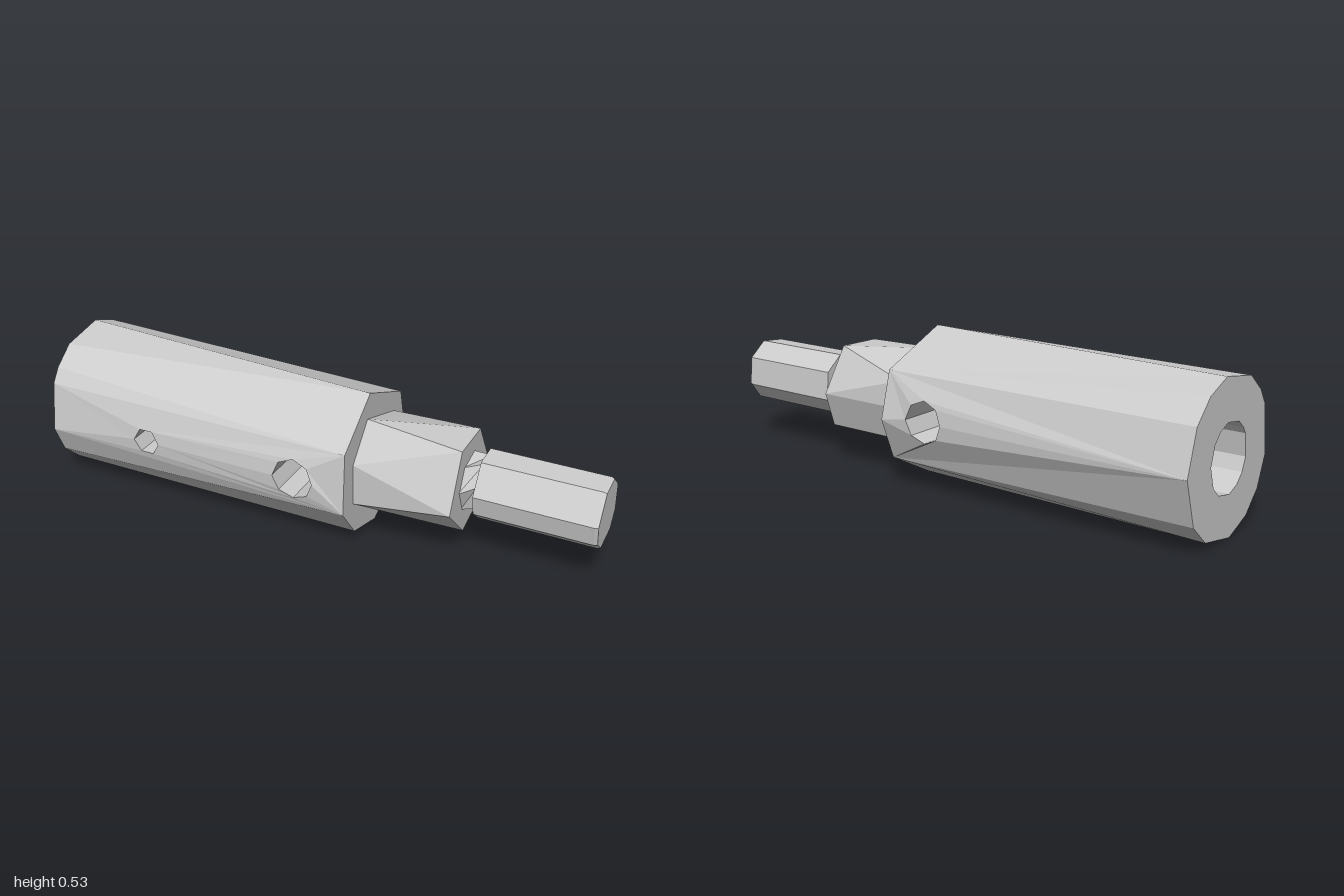
import * as THREE from 'three';
import { mergeGeometries } from 'three/addons/utils/BufferGeometryUtils.js';

const CY = 0.271, R = 0.269, BORE = 0.12, BORE_END = -0.2, X0 = -1, X1 = 0.175;
const rad = THREE.MathUtils.degToRad;

// Point on a circle about the long axis; 0 degrees is +z, 90 is up
const polar = (x, deg, r = R) =>
  new THREE.Vector3(x, CY + r * Math.sin(rad(deg)), r * Math.cos(rad(deg)));
const ring = (x, degs, r) => degs.map(d => polar(x, d, r));
const section = (x, zy) => zy.map(([z, y]) => new THREE.Vector3(x, y, z));

function fromTriangles(points) {
  const geo = new THREE.BufferGeometry().setFromPoints(points);
  geo.computeVertexNormals();
  return geo;
}

// Skin between two rings with equal point counts
function loft(a, b, closed = true) {
  const tri = [], n = a.length;
  for (let i = 0; i < (closed ? n : n - 1); i++) {
    const j = (i + 1) % n;
    if (!a[i].equals(b[i]) && !b[i].equals(b[j])) tri.push(a[i], b[i], b[j]);
    if (!a[i].equals(a[j])) tri.push(a[i], b[j], a[j]);
  }
  return fromTriangles(tri);
}

// Flat end; dir is +1 to face +x and -1 to face -x
function cap(pts, dir) {
  const c = new THREE.Vector3();
  pts.forEach(p => c.addScaledVector(p, 1 / pts.length));
  const tri = [];
  pts.forEach((p, i) => {
    const q = pts[(i + 1) % pts.length];
    if (!p.equals(q)) tri.push(c, ...(dir > 0 ? [q, p] : [p, q]));
  });
  return fromTriangles(tri);
}

const onWall = (y, side) => side * Math.sqrt(R * R - (y - CY) ** 2);

// Side panel drawn in x and y, then pushed out onto the round wall
function panel(pts, holes, side) {
  const flat = list => list.map(p => new THREE.Vector2(p.x * side, p.y));
  const shape = new THREE.Shape(flat(pts));
  holes.forEach(h => shape.holes.push(new THREE.Path(flat(h))));
  const geo = new THREE.ShapeGeometry(shape).toNonIndexed();
  const pos = geo.attributes.position;
  for (let i = 0; i < pos.count; i++)
    pos.setXYZ(i, pos.getX(i) * side, pos.getY(i), onWall(pos.getY(i), side));
  geo.deleteAttribute('uv');
  geo.computeVertexNormals();
  return geo;
}

// Outline of a cross hole, points anticlockwise from +x
const holeRim = (x, r, n) => Array.from({ length: n }, (_, i) => {
  const a = i / n * Math.PI * 2;
  return new THREE.Vector3(x + r * Math.cos(a), CY + r * Math.sin(a), 0);
});
const atDepth = (pts, z) => pts.map(p => new THREE.Vector3(p.x, p.y, z(p.y)));

export function createModel() {
  const group = new THREE.Group();
  const add = (name, parts, side = THREE.FrontSide) => {
    const bare = parts.map(g => { g.deleteAttribute('uv'); return g; });
    const mesh = new THREE.Mesh(mergeGeometries(bare), new THREE.MeshStandardMaterial({
      color: 0xcccccc, flatShading: true, side }));
    mesh.name = name;
    group.add(mesh);
  };

  // Body: corner angles at the bored end and at the shoulder end
  const upper = [[28, 28], [41, 28], [62, 81], [99, 81], [123, 146], [146, 146]];
  const back = [180, 184];
  const lower = [[217, 219], [241, 219], [277, 266], [303, 305], [325, 338], [349, 338]];
  const start = list => ring(X0, list.map(p => p[0]));
  const end = list => ring(X1, list.map(p => p[1]));
  const all = [...upper, back, ...lower];

  const crossRim = holeRim(-0.008, 0.075, 8);
  const pinRim = holeRim(-0.59, 0.05, 6);
  const backUpper = [polar(X0, 146), polar(X0, back[0]),
    ...crossRim.slice(0, 5).reverse(), polar(X1, back[1]), polar(X1, 146)];
  const backLower = [polar(X0, 217), polar(X0, back[0]),
    ...crossRim.slice(4), crossRim[0], polar(X1, back[1]), polar(X1, 219)];
  const front = [polar(X0, -11), polar(X1, -22), polar(X1, 28), polar(X0, 28)];

  add('body', [
    loft(start(upper), end(upper), false),
    loft(start(lower), end(lower), false),
    panel(front, [crossRim, pinRim], 1),
    panel(backUpper, [], -1),
    panel(backLower, [], -1),
    cap(end(all), 1),
  ]);

  // Bored end face, bore wall and bore floor
  const degs = all.map(p => p[0]);
  const mouth = ring(X0, degs, BORE), floor = ring(BORE_END, degs, BORE);
  add('bore', [loft(mouth, start(all)), loft(floor, mouth), cap(floor, -1)]);

  // Hole through the body and the shorter pin hole into the bore
  add('crossHole', [loft(atDepth(crossRim, y => onWall(y, 1)),
    atDepth(crossRim, y => onWall(y, -1)))], THREE.DoubleSide);
  add('pinHole', [loft(atDepth(pinRim, y => onWall(y, 1)),
    atDepth(pinRim, () => 0.105))], THREE.DoubleSide);

  // Collar: twisted facets, corners given as z, y
  const collarStart = section(X1, [[0.172, 0.325], [0.06, 0.447], [0.06, 0.447],
    [-0.168, 0.37], [-0.176, 0.27], [-0.135, 0.143], [-0.06, 0.092],
    [0.168, 0.17], [0.168, 0.17], [0.172, 0.325]]);
  const collarEnd = section(0.53, [[0.097, 0.43], [0.097, 0.43], [-0.073, 0.433],
    [-0.073, 0.433], [-0.176, 0.27], [-0.135, 0.143], [0.043, 0.092],
    [0.043, 0.092], [0.185, 0.23], [0.185, 0.23]]);
  add('collar', [loft(collarStart, collarEnd), cap(collarEnd, 1)]);

  // Neck between collar and shaft
  const neckDegs = [0, 51, 103, 154, 206, 257, 309];
  add('neck', [loft(ring(0.525, neckDegs, 0.105), ring(0.585, neckDegs.map(d => d + 20), 0.098))]);

  // Shaft with a fine edge break at its tip
  const outline = [[0.115, 0.28], [0.05, 0.378], [-0.04, 0.386], [-0.108, 0.33],
    [-0.117, 0.225], [-0.075, 0.168], [0.04, 0.157], [0.098, 0.205]];
  const shrink = outline.map(([z, y]) => [z * 0.96, CY + (y - CY) * 0.96]);
  const root = section(0.58, outline), rim = section(0.99, outline), tip = section(1, shrink);
  add('shaft', [cap(root, -1), loft(root, rim), loft(rim, tip), cap(tip, 1)]);

  return group;
}
